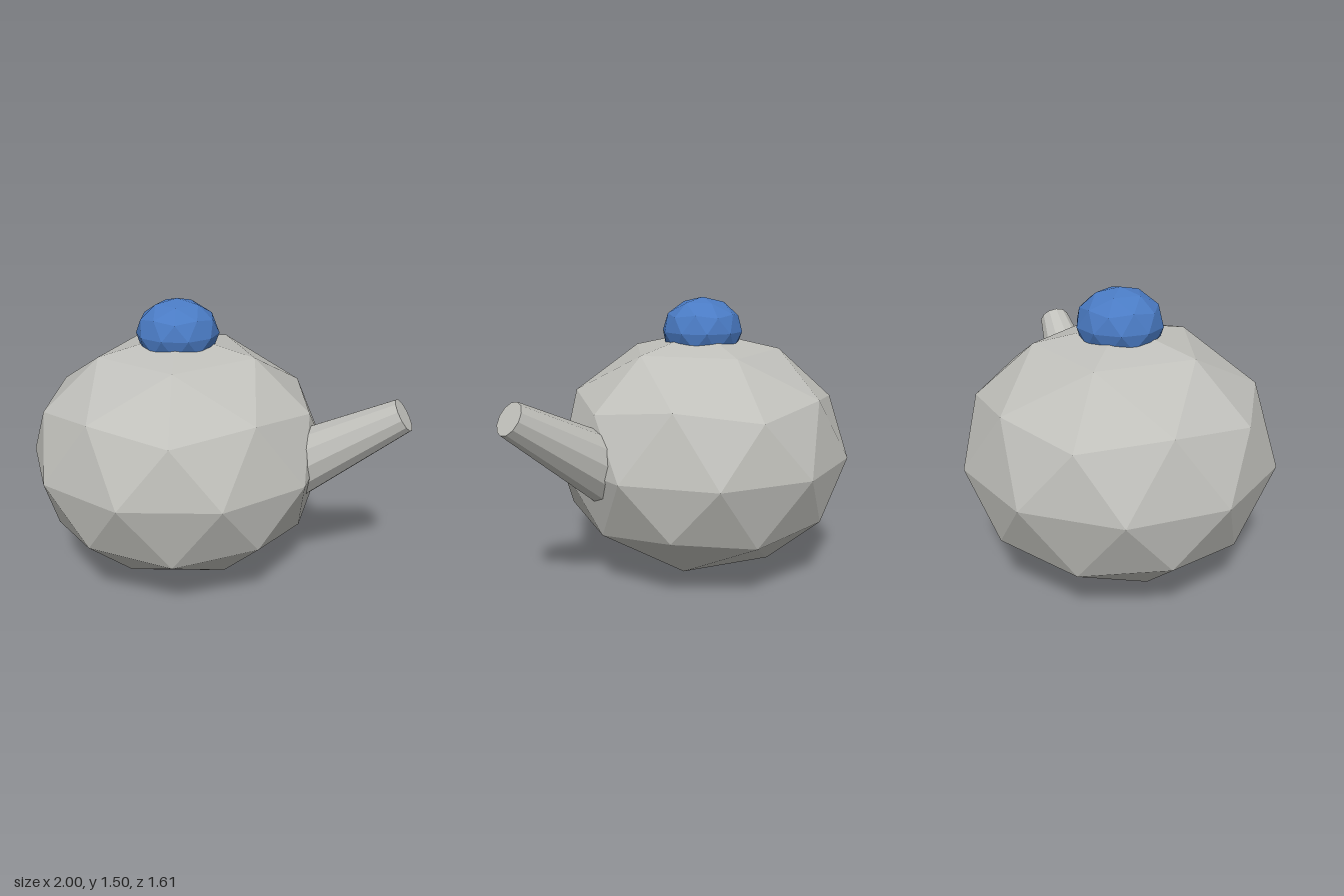
import * as THREE from 'three';

const CENTRE_X = -0.236;

// Faceted ball with a corner at each pole, squashed vertically
function facetedBall(radius, halfHeight) {
  const geometry = new THREE.IcosahedronGeometry(1, 1);
  geometry.rotateZ(-Math.atan(2 / (1 + Math.sqrt(5))));
  geometry.scale(radius, halfHeight, radius);
  geometry.computeVertexNormals();
  return geometry;
}

export function createModel() {
  const clay = new THREE.MeshStandardMaterial({ color: 0xc0c0bb });
  clay.name = 'pale grey';
  clay.flatShading = true;
  const blue = new THREE.MeshStandardMaterial({ color: 0x4a7bc4 });
  blue.name = 'blue';
  blue.flatShading = true;

  const model = new THREE.Group();
  model.name = 'teapot';
  const add = (name, geometry, material, x, y) => {
    const mesh = new THREE.Mesh(geometry, material);
    mesh.name = name;
    mesh.position.set(x, y, 0);
    model.add(mesh);
    return mesh;
  };

  add('body', facetedBall(0.803, 0.66), clay, CENTRE_X, 0.66);
  add('lidKnob', facetedBall(0.218, 0.18), blue, CENTRE_X, 1.32);

  // Tapered spout: starts inside the body, its tip centred at (0.95, 1.005)
  const length = 0.8;
  const tilt = THREE.MathUtils.degToRad(32.3);
  const spout = add(
    'spout',
    new THREE.CylinderGeometry(0.087, 0.195, length, 12).toNonIndexed(),
    clay,
    0.95 - Math.cos(tilt) * length / 2,
    1.005 - Math.sin(tilt) * length / 2
  );
  spout.geometry.computeVertexNormals();
  spout.rotation.z = tilt - Math.PI / 2;

  return model;
}
